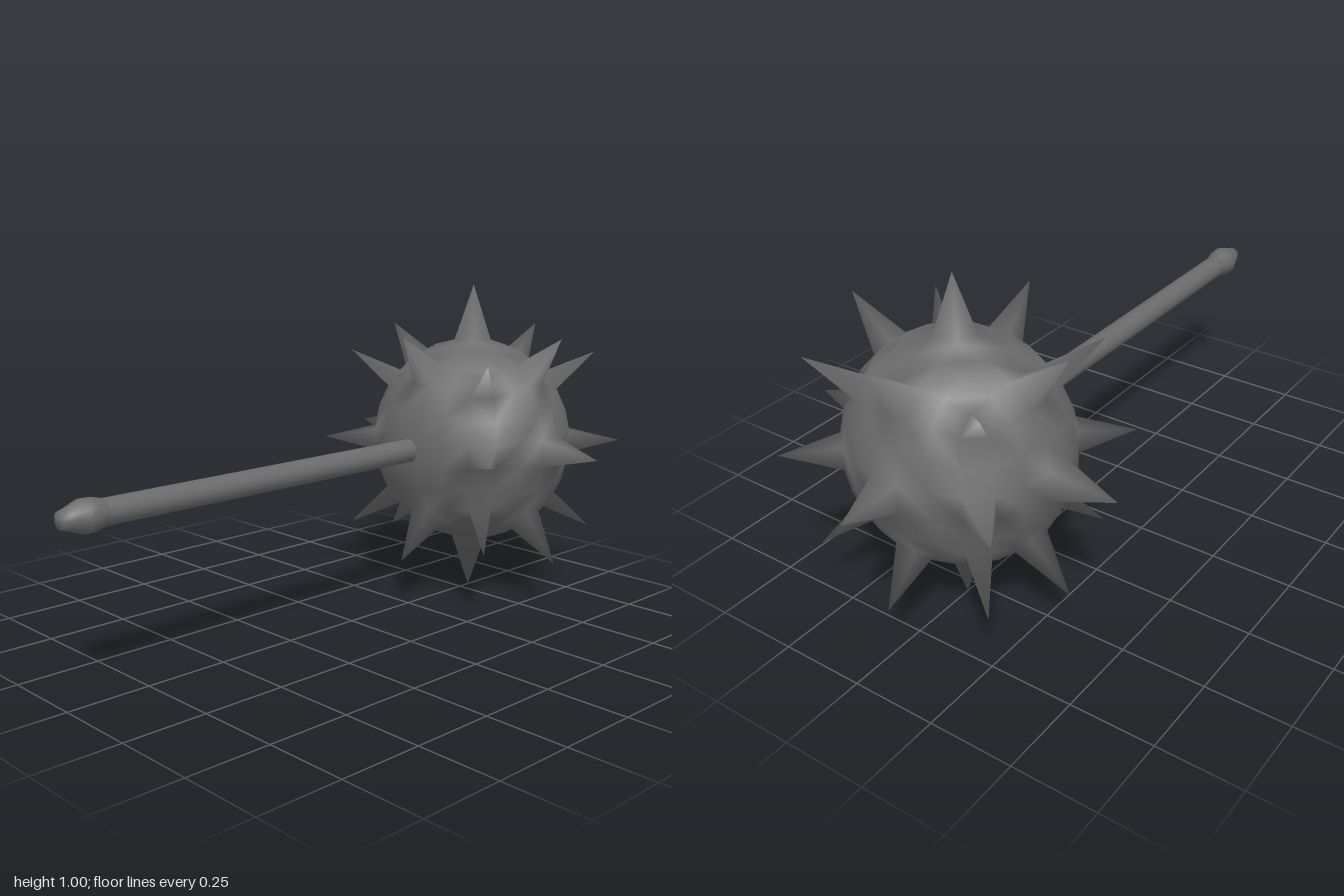
import * as THREE from 'three';
import { mergeVertices } from 'three/addons/utils/BufferGeometryUtils.js';

const BALL_R = 0.33, TIP_R = 0.5, X_SQUASH = 0.915;
const T = [-37.5, -22.5, -7.5, 7.5, 22.5, 37.5].map(a => Math.tan(a * Math.PI / 180));

// Ball whose cells on every axis, edge and corner direction rise into spikes
function spikedBall() {
  const pos = [];

  // point on the ball seen through one side of a cube
  const point = (axis, sign, b, tb, tc) => {
    const v = new THREE.Vector3();
    v.setComponent(axis, sign).setComponent(b, tb).setComponent(3 - axis - b, tc);
    return v.setLength(BALL_R);
  };
  const triangle = (a, b, c) => {
    const n = b.clone().sub(a).cross(c.clone().sub(a));
    const mid = a.clone().add(b).add(c);
    const order = n.dot(mid) > 0 ? [a, b, c] : [a, c, b];
    order.forEach(p => pos.push(p.x, p.y, p.z));
  };
  const cell = (pts, spike) => {
    if (spike) {
      const tip = pts.reduce((s, p) => s.add(p), new THREE.Vector3()).setLength(TIP_R);
      pts.forEach((p, i) => triangle(p, pts[(i + 1) % pts.length], tip));
    } else {
      for (let i = 1; i < pts.length - 1; i++) triangle(pts[0], pts[i], pts[i + 1]);
    }
  };

  const signs = [-1, 1], t = T[5];
  for (let a = 0; a < 3; a++) {
    const b = (a + 1) % 3, c = (a + 2) % 3;
    for (const s of signs) {
      // six main sides; the one carrying the handle has no spike
      for (let i = 0; i < 5; i++) for (let j = 0; j < 5; j++) {
        const p = (u, v) => point(a, s, b, T[u], T[v]);
        cell([p(i, j), p(i + 1, j), p(i + 1, j + 1), p(i, j + 1)],
          i === 2 && j === 2 && !(a === 0 && s < 0));
      }
      // strips joining neighbouring sides
      for (const q of signs) for (let i = 0; i < 5; i++) {
        const p = k => point(a, s, b, q * t, T[k]);
        const r = k => point(b, q, a, s * t, T[k]);
        cell([p(i), p(i + 1), r(i + 1), r(i)], i === 2);
      }
    }
  }
  // eight corners
  for (const x of signs) for (const y of signs) for (const z of signs) {
    cell([
      point(0, x, 1, y * t, z * t),
      point(1, y, 0, x * t, z * t),
      point(2, z, 0, x * t, y * t),
    ], true);
  }

  let geo = new THREE.BufferGeometry();
  geo.setAttribute('position', new THREE.Float32BufferAttribute(pos, 3));
  geo = mergeVertices(geo, 1e-4);
  geo.scale(X_SQUASH, 1, 1);
  geo.computeVertexNormals();
  return geo;
}

export function createModel() {
  const iron = new THREE.MeshStandardMaterial({ color: 0x6b6b6b });
  iron.name = 'darkIron';
  const model = new THREE.Group();
  model.name = 'mace';

  const ball = new THREE.Mesh(spikedBall(), iron);
  ball.name = 'spikedBall';
  ball.position.set(0.54, 0.5, 0);
  model.add(ball);

  // helper for parts turned about the handle axis, profile as [radius, x]
  const turned = (name, profile) => {
    const geo = new THREE.LatheGeometry(profile.map(([r, x]) => new THREE.Vector2(r, x)), 12);
    geo.rotateZ(-Math.PI / 2);
    const mesh = new THREE.Mesh(geo, iron);
    mesh.name = name;
    mesh.position.y = 0.5;
    model.add(mesh);
  };
  turned('handle', [[0.037, -0.9], [0.037, 0.3]]);
  turned('pommel', [[0, -1], [0.024, -0.995], [0.03, -0.975], [0.047, -0.93], [0.046, -0.905], [0.037, -0.87]]);

  return model;
}
